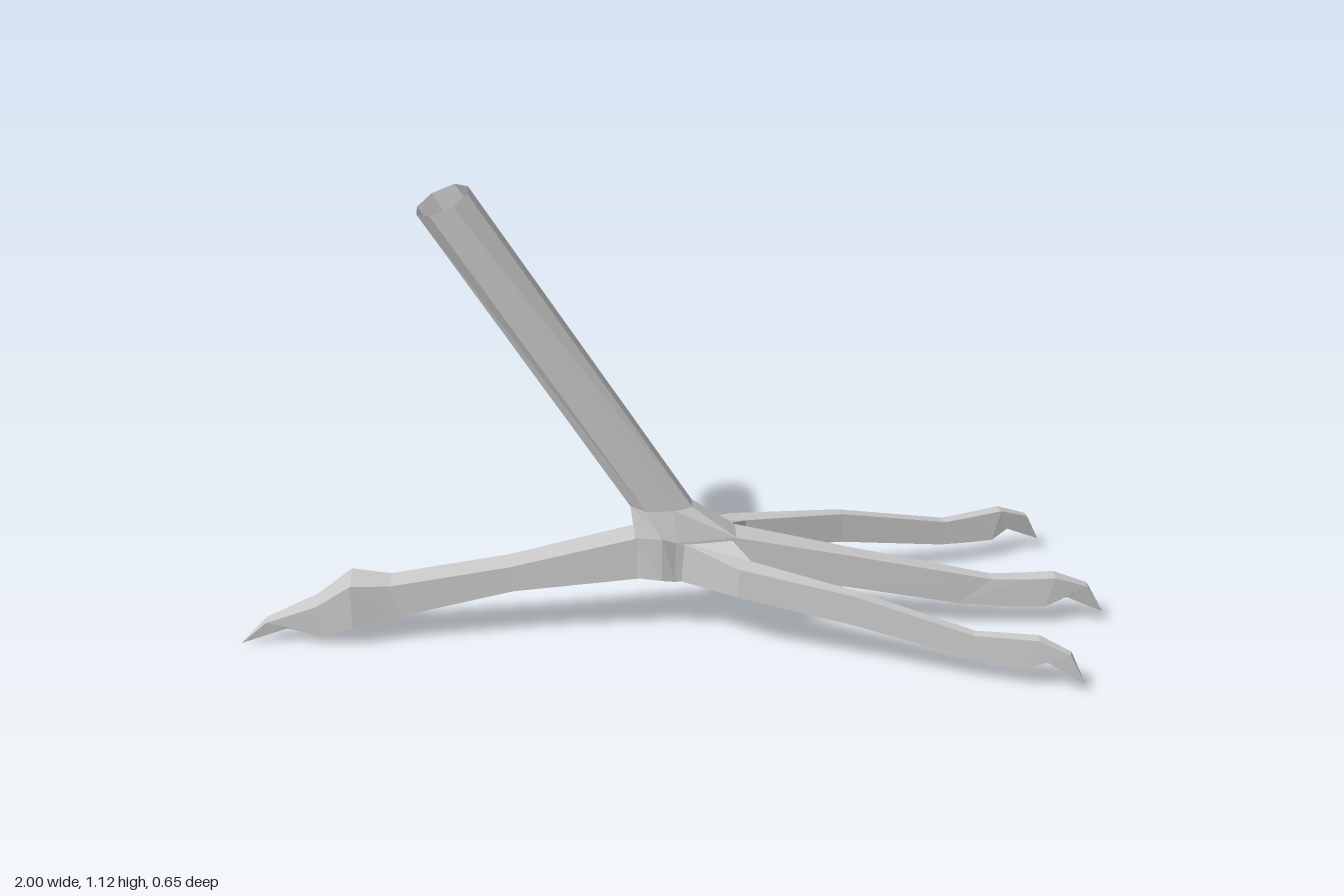
import * as THREE from 'three';

const MID = 0.022; // z of the leg and of the straight toes

// Skin a list of equal-length rings; optional end caps; faces turned outwards.
function loft(name, rings, capped = true) {
  const n = rings[0].length;
  const tris = [];
  for (let i = 0; i < rings.length - 1; i++) {
    for (let j = 0; j < n; j++) {
      const k = (j + 1) % n;
      const [a, b, c, d] = [rings[i][j], rings[i + 1][j], rings[i + 1][k], rings[i][k]];
      tris.push([a, b, c], [a, c, d]);
    }
  }
  if (capped) {
    const first = rings[0], last = rings[rings.length - 1];
    for (let j = 1; j < n - 1; j++) {
      tris.push([first[0], first[j], first[j + 1]], [last[0], last[j + 1], last[j]]);
    }
  }
  // Signed volume about the middle of the first ring tells the winding
  const mid = new THREE.Vector3();
  rings[0].forEach(p => mid.add(new THREE.Vector3(...p)));
  mid.divideScalar(n);
  let volume = 0;
  for (const t of tris) {
    const [a, b, c] = t.map(p => new THREE.Vector3(...p).sub(mid));
    volume += a.dot(b.cross(c));
  }
  if (volume < 0) tris.forEach(t => t.reverse());
  const geometry = new THREE.BufferGeometry();
  geometry.setAttribute('position', new THREE.Float32BufferAttribute(tris.flat(2), 3));
  geometry.computeVertexNormals();
  const mesh = new THREE.Mesh(geometry, new THREE.MeshStandardMaterial({
    color: 0xcccccc, flatShading: true,
    side: capped ? THREE.FrontSide : THREE.DoubleSide,
  }));
  mesh.name = name;
  return mesh;
}

// Four-sided toe. Section: [xTop, yTop, xBottom, yBottom, halfWidth, skew]
function toe(name, sections, zAt, outward = 1) {
  return loft(name, sections.map(([xt, yt, xb, yb, w, skew = 0]) => {
    const o = outward * w;
    return [
      [xt - skew, yt, zAt(xt) + o], [xt + skew, yt, zAt(xt) - o],
      [xb + skew, yb, zAt(xb) - o], [xb - skew, yb, zAt(xb) + o],
    ];
  }));
}

// Piecewise linear path
function along(path, x) {
  let i = 0;
  while (i < path.length - 2 && x > path[i + 1][0]) i++;
  const [x0, z0] = path[i], [x1, z1] = path[i + 1];
  return z0 + (z1 - z0) * THREE.MathUtils.clamp((x - x0) / (x1 - x0), 0, 1);
}

// Eight-sided ring from four stations [x, y, halfWidth], running back to front
function octagon(stations) {
  return [
    ...stations.map(([x, y, w]) => [x, y, MID + w]),
    ...stations.slice().reverse().map(([x, y, w]) => [x, y, MID - w]),
  ];
}

export function createModel() {
  const group = new THREE.Group();
  group.name = 'birdFoot';

  // Leg: tapered, leaning tube, open at the top
  const ankle = octagon([[-0.10, 0.35, 0.018], [-0.065, 0.345, 0.037], [0.0, 0.345, 0.037], [0.04, 0.345, 0.018]]);
  const legTop = octagon([[-0.55, 1.073, 0.022], [-0.52, 1.086, 0.064], [-0.47, 1.107, 0.064], [-0.44, 1.118, 0.022]]);
  group.add(loft('leg', [legTop, ankle], false));

  // Hub where the toes meet
  group.add(loft('hub', [
    ankle,
    octagon([[-0.09, 0.275, 0.032], [-0.03, 0.285, 0.06], [0.0, 0.27, 0.05], [0.14, 0.27, 0.032]]),
    octagon([[-0.09, 0.17, 0.032], [-0.03, 0.168, 0.045], [0.0, 0.165, 0.045], [0.14, 0.165, 0.032]]),
  ]));

  // Middle front toe with claw
  group.add(toe('middleToe', [
    [0.1, 0.272, 0.1, 0.165, 0.033],
    [0.14, 0.27, 0.14, 0.165, 0.032],
    [0.4, 0.21, 0.4, 0.127, 0.021],
    [0.73, 0.135, 0.66, 0.072, 0.014],
    [0.8, 0.133, 0.77, 0.062, 0.016],
    [0.88, 0.135, 0.86, 0.06, 0.017],
    [0.96, 0.105, 0.91, 0.08, 0.010],
    [1.0, 0.03, 0.995, 0.034, 0.001],
  ], x => x > 0.9 ? MID - (x - 0.9) * 0.05 : MID));

  // Two spread front toes
  const spread = [[0.06, 0.035], [0.155, 0.112], [0.4, 0.188], [0.78, 0.288], [0.905, 0.325]];
  for (const [name, side] of [['leftToe', 1], ['rightToe', -1]]) {
    group.add(toe(name, [
      [0.06, 0.27, 0.06, 0.165, 0.008, 0.06],
      [0.155, 0.238, 0.155, 0.165, 0.018, 0.015],
      [0.4, 0.2, 0.4, 0.125, 0.012, 0.004],
      [0.66, 0.13, 0.65, 0.07, 0.011, 0.003],
      [0.72, 0.132, 0.72, 0.063, 0.012, 0.003],
      [0.80, 0.135, 0.78, 0.06, 0.013, 0.003],
      [0.87, 0.105, 0.82, 0.08, 0.008, 0.002],
      [0.905, 0.03, 0.9, 0.034, 0.001],
    ], x => 0.015 - 0.018 * x + side * along(spread, x), side));
  }

  // Back toe with broad knuckle and claw
  group.add(toe('backToe', [
    [-0.07, 0.278, -0.07, 0.17, 0.034],
    [-0.38, 0.203, -0.37, 0.14, 0.03],
    [-0.65, 0.16, -0.63, 0.08, 0.03],
    [-0.74, 0.168, -0.74, 0.055, 0.042],
    [-0.82, 0.11, -0.81, 0.034, 0.03],
    [-0.94, 0.06, -0.89, 0.045, 0.014],
    [-1.0, 0.0, -0.995, 0.003, 0.001],
  ], () => MID - 0.001));

  return group;
}
